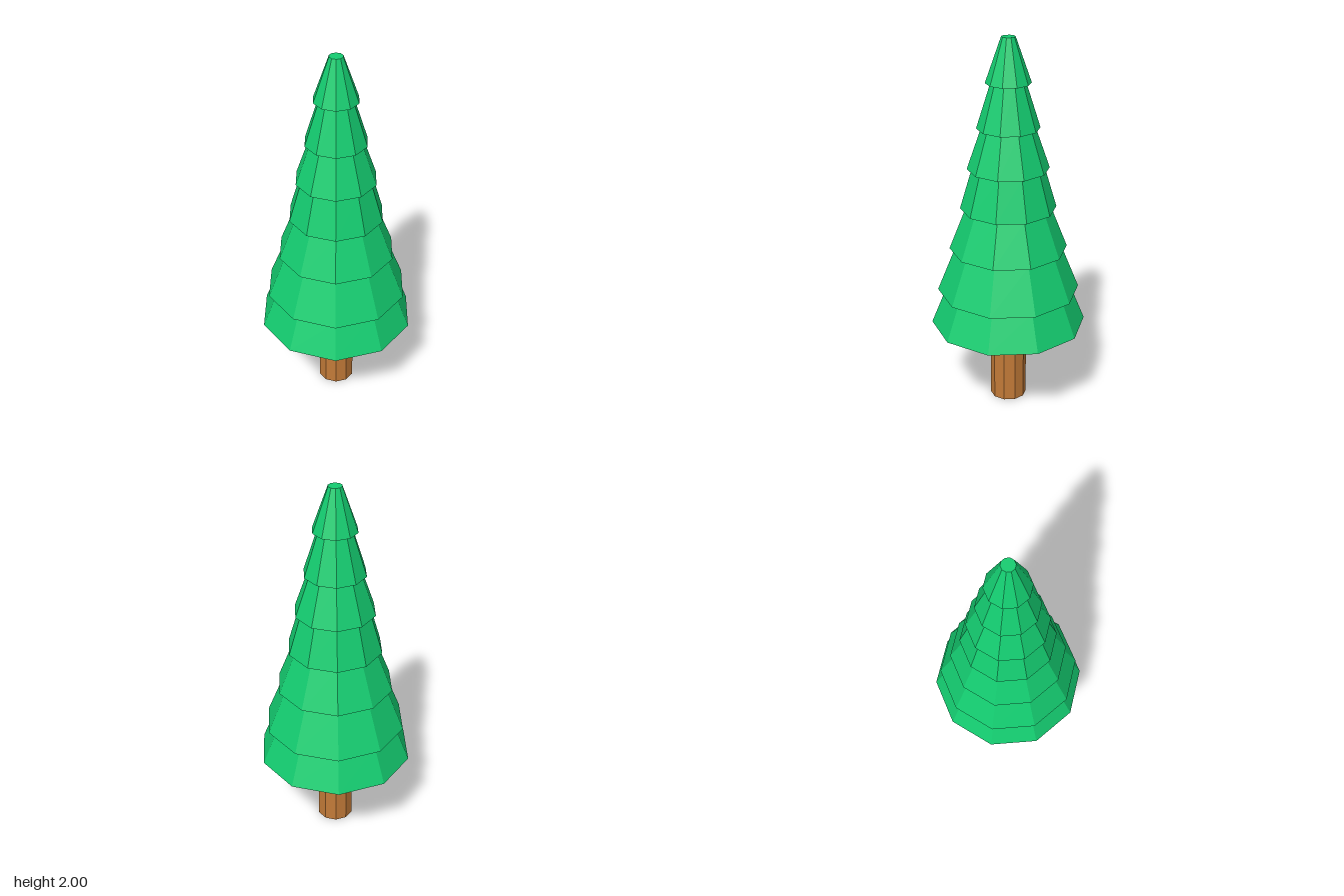
import * as THREE from 'three';

const SIDES = 10;

export function createModel() {
  const tree = new THREE.Group();
  tree.name = 'pineTree';

  const bark = new THREE.MeshStandardMaterial({ color: 0xc27a38, flatShading: true });
  const needles = new THREE.MeshStandardMaterial({ color: 0x14cc70, flatShading: true });

  // Ten-sided frustum standing between two heights
  function frustum(name, y0, y1, bottomRadius, topRadius, material) {
    const geometry = new THREE.CylinderGeometry(topRadius, bottomRadius, y1 - y0, SIDES);
    const mesh = new THREE.Mesh(geometry, material);
    mesh.position.y = (y0 + y1) / 2;
    mesh.name = name;
    tree.add(mesh);
  }

  // Trunk
  frustum('trunk', 0, 0.45, 0.097, 0.097, bark);

  // Foliage tiers: base height, base radius, top radius
  const tiers = [
    [0.45, 0.412, 0.334],
    [0.643, 0.376, 0.281],
    [0.88, 0.31, 0.222],
    [1.105, 0.251, 0.188],
    [1.32, 0.213, 0.139],
    [1.535, 0.163, 0.09],
    [1.768, 0.117, 0.036],
  ];
  tiers.forEach(([y, bottom, top], i) => {
    const next = i + 1 < tiers.length ? tiers[i + 1][0] : 2;
    frustum(`foliageTier${i + 1}`, y, next, bottom, top, needles);
  });

  return tree;
}
